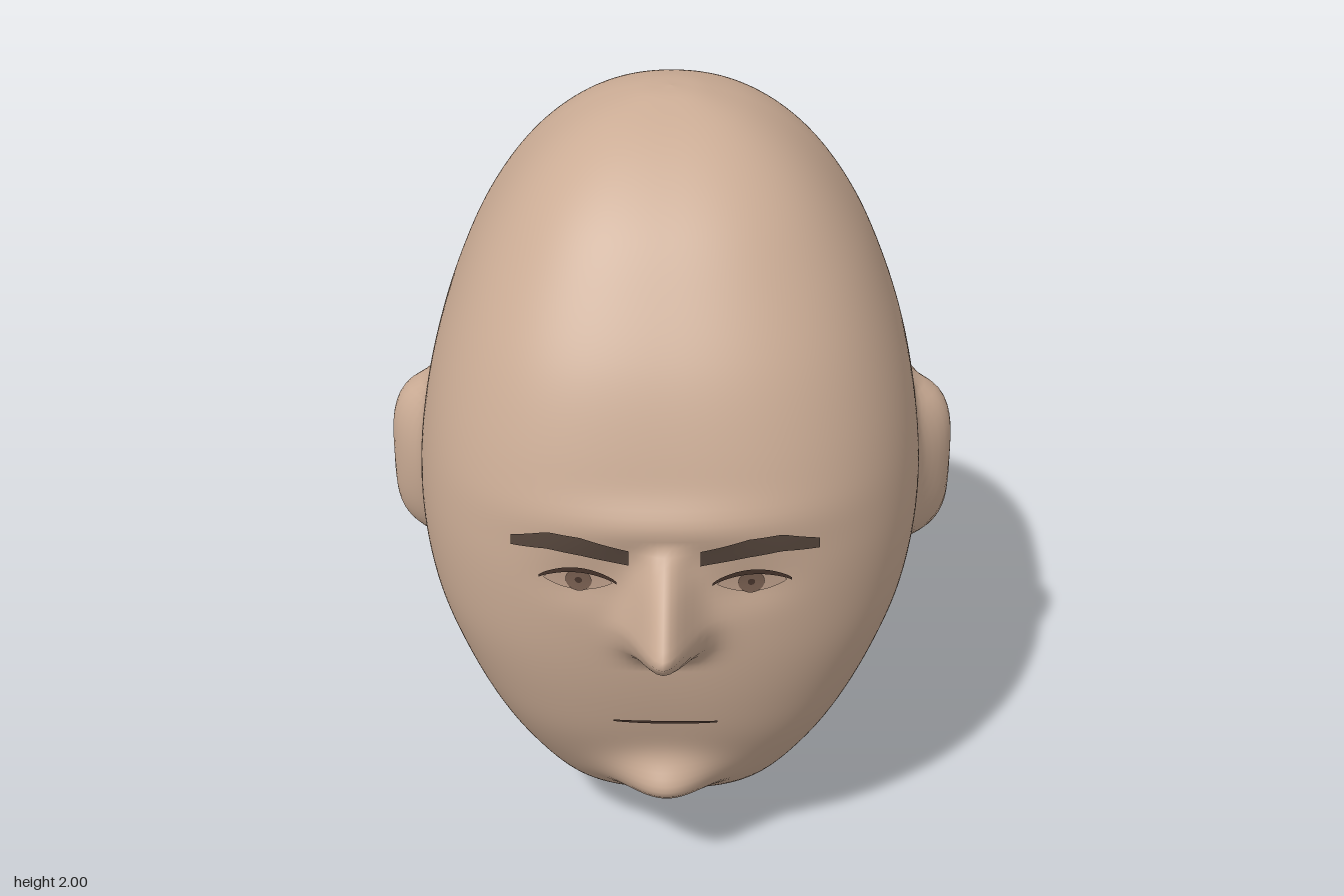
import * as THREE from 'three';

const skin = new THREE.MeshStandardMaterial({ color: 0xcbac95 });
const hair = new THREE.MeshStandardMaterial({ color: 0x57473d, side: THREE.DoubleSide });
const eyeBase = new THREE.MeshStandardMaterial({ color: 0xc0a18c, side: THREE.DoubleSide });
const iris = new THREE.MeshStandardMaterial({ color: 0x7c6253, side: THREE.DoubleSide });
const dark = new THREE.MeshStandardMaterial({ color: 0x4a372e, side: THREE.DoubleSide });
[skin, hair, eyeBase, iris, dark].forEach((m, i) => {
  m.name = ['skin', 'brow hair', 'eye', 'iris', 'dark line'][i];
});

// Head sections: height, half width, front z, back z
const rows = [
  [0, 0, 0, 0], [0.01, 0.08, 0.07, -0.06], [0.04, 0.155, 0.15, -0.115], [0.1, 0.235, 0.26, -0.17],
  [0.2, 0.325, 0.39, -0.245], [0.33, 0.418, 0.485, -0.35], [0.46, 0.493, 0.557, -0.46],
  [0.6, 0.562, 0.605, -0.588], [0.75, 0.62, 0.64, -0.712], [0.9, 0.65, 0.66, -0.815],
  [1.05, 0.655, 0.668, -0.865], [1.2, 0.638, 0.658, -0.862], [1.35, 0.605, 0.62, -0.832],
  [1.5, 0.555, 0.56, -0.783], [1.65, 0.488, 0.468, -0.7], [1.78, 0.404, 0.37, -0.592],
  [1.88, 0.31, 0.26, -0.46], [1.95, 0.205, 0.145, -0.325], [1.99, 0.09, 0.02, -0.175], [2, 0, -0.06, -0.06],
];
const spline = (f) => new THREE.CatmullRomCurve3(rows.map(f), false, 'catmullrom');
const frontCurve = spline((r) => new THREE.Vector3(r[1], r[0], r[2]));
const backCurve = spline((r) => new THREE.Vector3(0, r[0], r[3]));

function section(t) {
  const p = frontCurve.getPoint(t), b = backCurve.getPoint(t).z;
  return { w: Math.max(p.x, 0), y: p.y, mid: (p.z + b) / 2, depth: (p.z - b) / 2 };
}

const gauss = (d, s) => Math.exp(-((d / s) ** 2));
function table(pts, y) {
  for (let i = 1; i < pts.length; i++) {
    const [a, u] = pts[i - 1], [b, v] = pts[i];
    if (y >= a && y <= b) return u + ((v - u) * (y - a)) / (b - a);
  }
  return 0;
}
const noseHeight = [[0.75, 0], [0.785, 0.045], [0.83, 0.16], [0.885, 0.21], [0.95, 0.155], [1.0, 0.11], [1.05, 0.06], [1.11, 0]];

// Forward relief of nose, brow ridge, chin and eye sockets
function relief(x, y) {
  const noseWidth = THREE.MathUtils.clamp(0.08 - (y - 0.87) * 0.17, 0.048, 0.08);
  return table(noseHeight, y) * gauss(x, noseWidth)
    + 0.025 * gauss(y - 1.155, 0.06) * gauss(x, 0.28)
    + 0.115 * gauss(y - 0.305, y > 0.305 ? 0.083 : 0.068) * gauss(x, 0.13)
    - 0.012 * gauss(y - 0.99, 0.06) * gauss(Math.abs(x) - 0.2, 0.1);
}

const FRONT = 2.75, BACK = 2.1;

// Face depth at a given x and y
function faceZ(x, y) {
  let lo = 0, hi = 1;
  for (let i = 0; i < 30; i++) {
    const m = (lo + hi) / 2;
    if (section(m).y < y) lo = m; else hi = m;
  }
  const s = section(lo);
  return s.mid + s.depth * (1 - Math.min(1, Math.abs(x) / s.w) ** FRONT) ** (1 / FRONT) + relief(x, y);
}

// Head skin with nose, chin and ears raised from one surface
function headGeometry() {
  const around = 240, up = 150, pos = [], index = [];
  for (let j = 0; j <= up; j++) {
    const { w, y, mid, depth } = section(j / up);
    const v = (y - 0.94) / 0.245;
    const earOut = Math.abs(v) < 1 ? Math.max(0, 0.58 + 0.172 * Math.sqrt(1 - v ** 4) - w) : 0;
    const earHalf = 0.025 + 0.1 * Math.sqrt(Math.max(0, 1 - v * v));
    for (let i = 0; i < around; i++) {
      const a = (i / around) * Math.PI * 2, s = Math.sin(a), c = Math.cos(a);
      const n = c > 0 ? FRONT : BACK;
      const r = (Math.abs(s) ** n + Math.abs(c) ** n) ** (-1 / n);
      let x = w * s * r, z = mid + depth * c * r;
      if (c > 0) z += relief(x, y);
      const ear = earOut * Math.exp(-(Math.abs((z + 0.11) / earHalf) ** 3)) * (Math.abs(s) > 0.6 ? 1 : 0);
      x += Math.sign(s) * ear;
      z -= ear * 0.1;
      pos.push(x, y, z);
      if (j < up) {
        const k = (i + 1) % around, p = j * around, q = p + around;
        index.push(p + i, p + k, q + k, p + i, q + k, q + i);
      }
    }
  }
  const g = new THREE.BufferGeometry();
  g.setAttribute('position', new THREE.Float32BufferAttribute(pos, 3));
  g.setIndex(index);
  g.computeVertexNormals();
  return g;
}

// Lay a flat geometry over the face
function drape(g, lift) {
  const p = g.attributes.position;
  for (let i = 0; i < p.count; i++) p.setZ(i, faceZ(p.getX(i), p.getY(i)) + lift);
  g.computeVertexNormals();
  return g;
}

// Strip between a lower and an upper edge, given as functions of 0..1
function strip(x0, x1, low, high, lift) {
  const g = new THREE.PlaneGeometry(1, 1, 20, 2), p = g.attributes.position;
  for (let i = 0; i < p.count; i++) {
    const u = p.getX(i) + 0.5, v = p.getY(i) + 0.5;
    p.setXY(i, x0 + (x1 - x0) * u, low(u) + (high(u) - low(u)) * v);
  }
  return drape(g, lift);
}

export function createModel() {
  const model = new THREE.Group();
  model.name = 'head';
  const add = (name, geometry, material, parent = model) => {
    const m = new THREE.Mesh(geometry, material);
    m.name = name;
    parent.add(m);
  };
  add('headSkin', headGeometry(), skin);

  const browTop = [[0, 1.115], [0.4, 1.143], [0.68, 1.145], [1, 1.115]];
  const browLow = [[0, 1.07], [0.4, 1.09], [0.68, 1.098], [1, 1.088]];
  const arc = (base, h) => (u) => base + h * Math.sin(Math.PI * u) ** 0.8;
  for (const side of [1, -1]) {
    const eye = new THREE.Group();
    eye.name = side > 0 ? 'leftEye' : 'rightEye';
    model.add(eye);
    // Mirror by swapping the strip's direction
    const band = (a, b, low, high, lift) => side > 0
      ? strip(a, b, low, high, lift)
      : strip(-b, -a, (u) => low(1 - u), (u) => high(1 - u), lift);
    add('eyebrow', band(0.085, 0.37, (u) => table(browLow, u), (u) => table(browTop, u), 0.028), hair, eye);
    add('eyeball', band(0.125, 0.295, arc(1, -0.028), arc(1, 0.032), 0.006), eyeBase, eye);
    add('upperLid', band(0.115, 0.305, arc(1.001, 0.025), arc(1.008, 0.033), 0.012), dark, eye);
    const disc = (r, lift) => drape(new THREE.CircleGeometry(r, 24).translate(side * 0.208, 1.002, 0), lift);
    add('iris', disc(0.032, 0.009), iris, eye);
    add('pupil', disc(0.009, 0.011), dark, eye);
  }
  // Mouth line
  add('mouth', strip(-0.13, 0.13, arc(0.567, -0.004), () => 0.573, 0.028), dark);
  return model;
}
